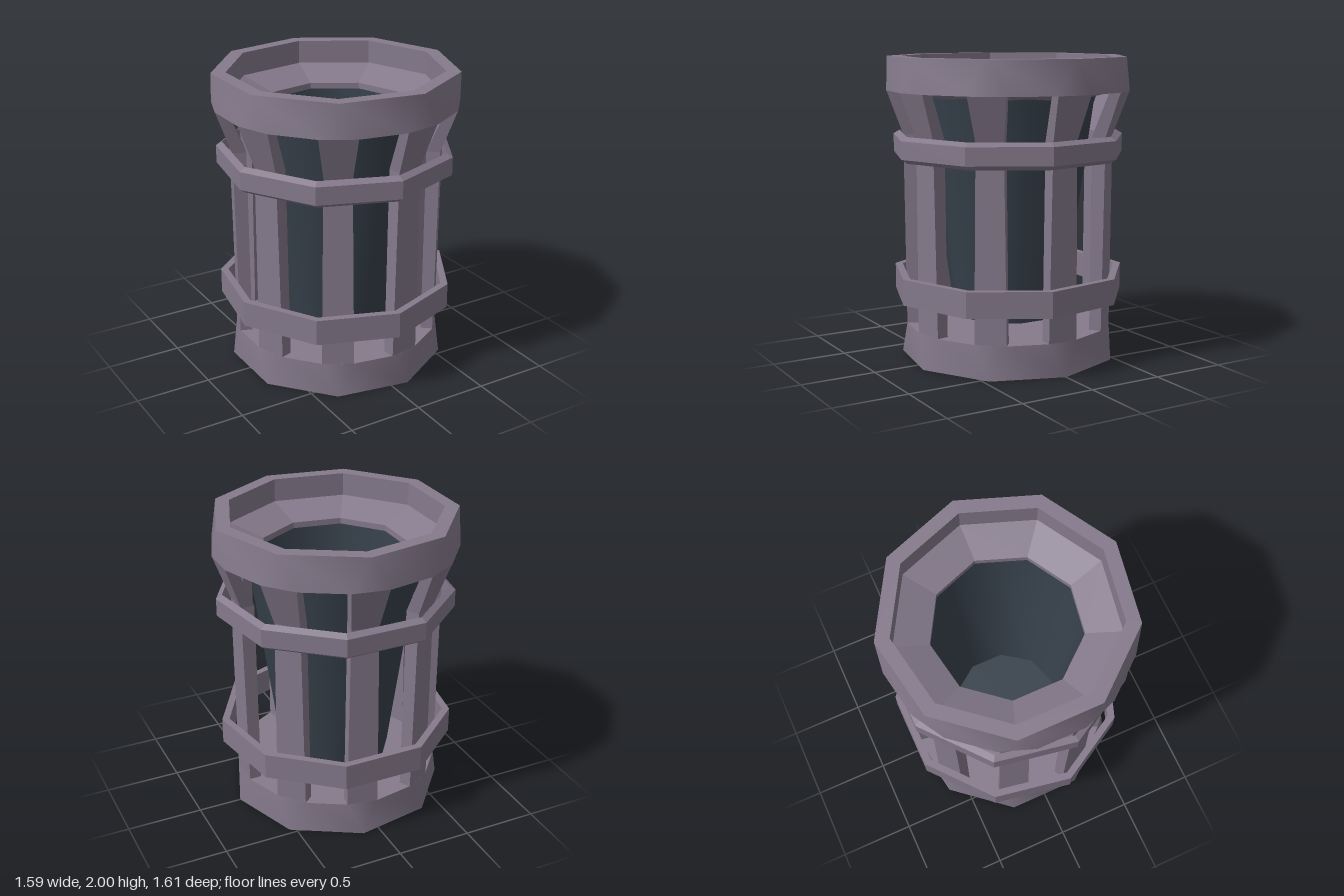
import * as THREE from 'three';
import { mergeVertices, mergeGeometries } from 'three/addons/utils/BufferGeometryUtils.js';

const SIDES = 9;
const STEP = (Math.PI * 2) / SIDES;
const SLAT_ANGLE = THREE.MathUtils.degToRad(8.6);

// Closed loop with two points per side; spread 0 gives a plain nine-sided loop,
// a larger spread cuts each corner to the width of a slat.
function ringLoop(y, r, spread = 0, turn = 0) {
  const pts = [];
  for (let i = 0; i < SIDES; i++) {
    for (const s of [-spread, spread]) {
      const a = i * STEP + s + turn;
      pts.push(new THREE.Vector3(r * Math.cos(a), y, r * Math.sin(a)));
    }
  }
  return pts;
}

// Band of faces between two loops of equal count, smooth or faceted.
function band(a, b, smooth = false) {
  const pos = [];
  const tri = (p, q, r) => {
    const area = q.clone().sub(p).cross(r.clone().sub(p)).length();
    if (area > 1e-7) for (const v of [p, q, r]) pos.push(v.x, v.y, v.z);
  };
  for (let i = 0; i < a.length; i++) {
    const j = (i + 1) % a.length;
    tri(a[i], a[j], b[i]);
    tri(a[j], b[j], b[i]);
  }
  let g = new THREE.BufferGeometry();
  g.setAttribute('position', new THREE.Float32BufferAttribute(pos, 3));
  if (smooth) g = mergeVertices(g);
  g.computeVertexNormals();
  return smooth ? g.toNonIndexed() : g;
}

// Joins successive loops into one solid; only the first band may be smooth.
function loft(loops, smoothFirst = false, closed = false) {
  const bands = [];
  const count = closed ? loops.length : loops.length - 1;
  for (let i = 0; i < count; i++) {
    bands.push(band(loops[i], loops[(i + 1) % loops.length], smoothFirst && i === 0));
  }
  return mergeGeometries(bands);
}

export function createModel() {
  const frameMat = new THREE.MeshStandardMaterial({ color: 0x857a8c });
  frameMat.name = 'mauve frame';
  const linerMat = new THREE.MeshStandardMaterial({ color: 0x37414c, side: THREE.DoubleSide });
  linerMat.name = 'dark slate liner';

  const model = new THREE.Group();
  model.name = 'slattedBin';
  const bin = new THREE.Group();
  bin.name = 'bin';
  bin.position.x = -0.01;
  model.add(bin);

  const add = (name, geometry, material, parent = bin) => {
    const mesh = new THREE.Mesh(geometry, material);
    mesh.name = name;
    parent.add(mesh);
    return mesh;
  };

  // Solid base, nine-sided at the floor and cut to the slats at the top
  add('base', loft([
    ringLoop(0.22, 0.687, SLAT_ANGLE),
    ringLoop(0, 0.72),
    ringLoop(0, 0),
  ], true), frameMat);
  add('baseTop', band(ringLoop(0.22, 0), ringLoop(0.22, 0.687, SLAT_ANGLE)), frameMat);

  // Top collar with an inward funnel around the opening
  add('topCollar', loft([
    ringLoop(2, 0.8),
    ringLoop(1.78, 0.803, SLAT_ANGLE),
    ringLoop(1.78, 0.73),
    ringLoop(1.72, 0.48),
    ringLoop(1.76, 0.48),
    ringLoop(1.845, 0.705),
    ringLoop(2, 0.705),
  ], true, true), frameMat);

  // Nine slats that flare outward near the top
  const slatSection = (y, outer, inner, half) => [
    new THREE.Vector3(outer, y, -half),
    new THREE.Vector3(outer, y, half),
    new THREE.Vector3(inner, y, half),
    new THREE.Vector3(inner, y, -half),
  ];
  const slatGeometry = loft([
    slatSection(1.78, 0.793, 0.72, 0.12),
    slatSection(1.49, 0.69, 0.6, 0.088),
    slatSection(0.22, 0.679, 0.6, 0.103),
  ]);
  const slats = new THREE.Group();
  slats.name = 'slats';
  bin.add(slats);
  for (let i = 0; i < SIDES; i++) {
    add('slat', slatGeometry, frameMat, slats).rotation.y = i * STEP;
  }

  // Two hoops around the slats: the upper bevelled, the lower square
  const hoop = (name, profile) => {
    const turn = THREE.MathUtils.degToRad(10);
    add(name, loft(profile.map(([y, r]) => ringLoop(y, r, 0, turn)), false, true), frameMat);
  };
  hoop('upperHoop', [[1.475, 0.785], [1.357, 0.785], [1.33, 0.745], [1.5, 0.745]]);
  hoop('lowerHoop', [[0.58, 0.785], [0.41, 0.785], [0.41, 0.735], [0.58, 0.735]]);

  // Tapered ten-sided liner, open at the top
  add('liner', new THREE.CylinderGeometry(0.572, 0.37, 1.47, 10, 1, true), linerMat)
    .position.y = 1.015;
  add('linerFloor', new THREE.CylinderGeometry(0.37, 0.37, 0.01, 10), linerMat)
    .position.y = 0.285;

  return model;
}
